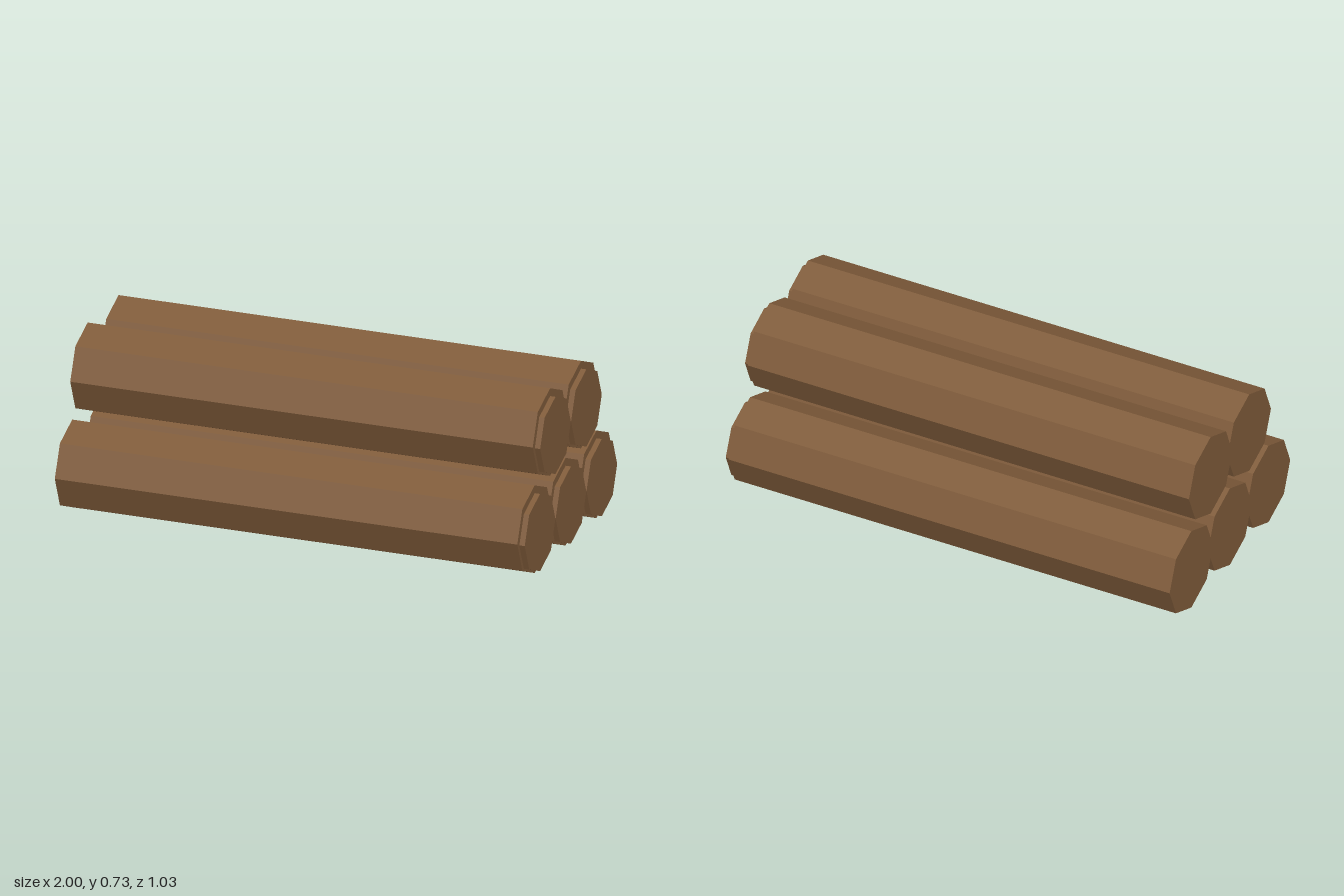
import * as THREE from 'three';

const RADIUS = 0.186;
const SPACING = 0.33;

export function createModel() {
  const model = new THREE.Group();
  model.name = 'logPile';

  const wood = new THREE.MeshStandardMaterial({ color: 0x7f5b3a, flatShading: true });
  wood.name = 'brown wood';

  // Eight-sided prism lying along x, from x0 to x1
  const prism = (radius, x0, x1) => new THREE.CylinderGeometry(radius, radius, x1 - x0, 8)
    .rotateZ(-Math.PI / 2)
    .translate((x0 + x1) / 2, 0, 0);

  const trunkGeometry = prism(RADIUS, -1, 0.977);
  const endGeometry = prism(0.164, 0.95, 1);

  // Each log: a trunk with a narrower cut end set slightly low
  function addLog(name, y, z) {
    const log = new THREE.Group();
    log.name = name;
    log.position.set(0, y, z);
    const trunk = new THREE.Mesh(trunkGeometry, wood);
    trunk.name = 'trunk';
    const cutEnd = new THREE.Mesh(endGeometry, wood);
    cutEnd.name = 'cutEnd';
    cutEnd.position.y = -0.011;
    log.add(trunk, cutEnd);
    model.add(log);
  }

  // Three logs below, two resting above
  [[3, RADIUS, 'lowerLog'], [2, 0.54, 'upperLog']].forEach(([count, y, name]) => {
    for (let i = 0; i < count; i++) {
      addLog(name + (i + 1), y, ((count - 1) / 2 - i) * SPACING);
    }
  });

  return model;
}
